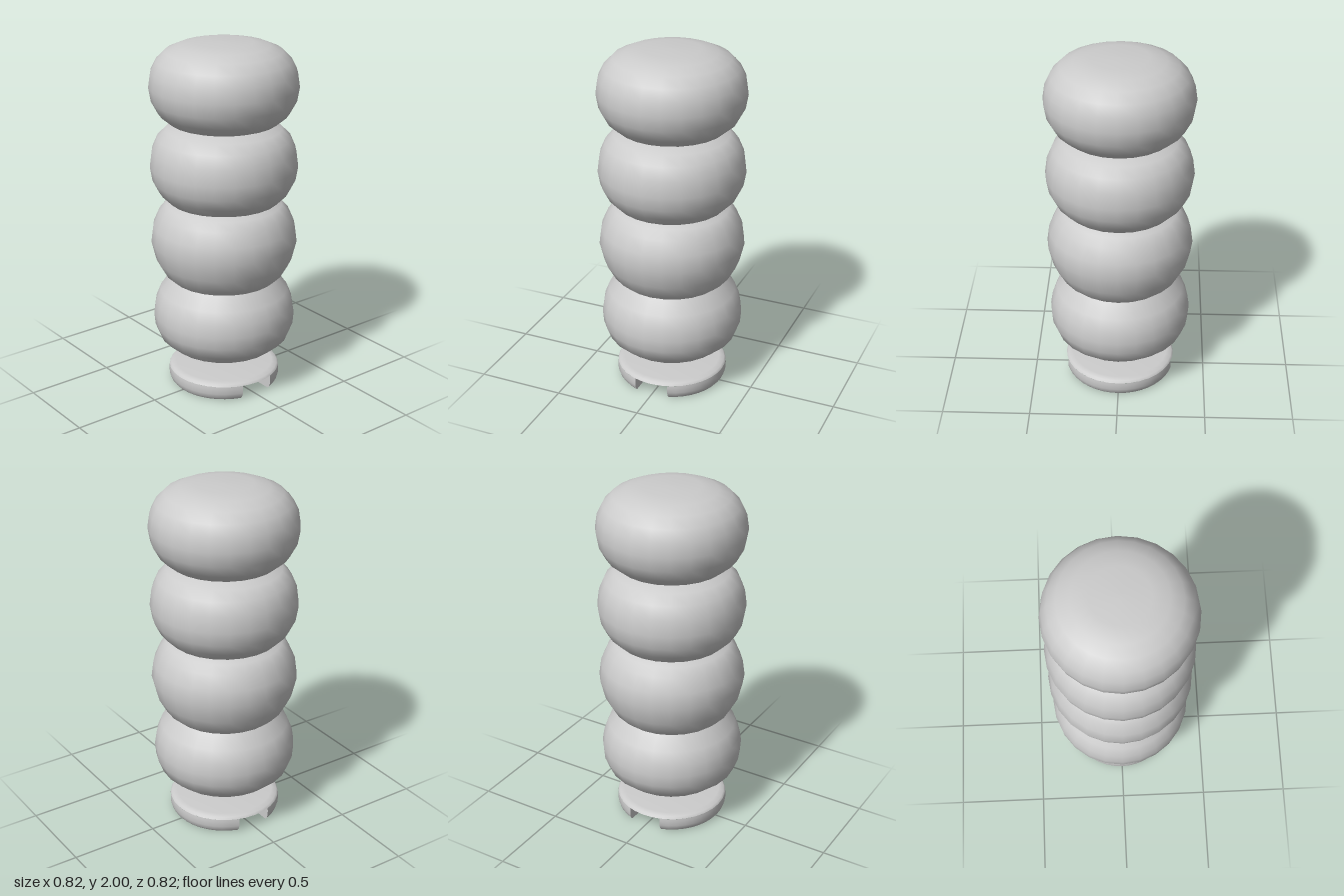
import * as THREE from 'three';
import { ParametricGeometry } from 'three/addons/geometries/ParametricGeometry.js';

const SIDES = 24;
const grey = new THREE.MeshStandardMaterial({ color: 0xcccccc });

function add(parent, name, geometry) {
  const mesh = new THREE.Mesh(geometry, grey);
  mesh.name = name;
  parent.add(mesh);
  return mesh;
}

// Surface of revolution from [radius, height] pairs, bottom to top
function lathe(profile, sides = SIDES) {
  return new THREE.LatheGeometry(profile.map(([r, y]) => new THREE.Vector2(r, y)), sides);
}

// Flat disc facing down
function underside(radius, y) {
  return new THREE.CircleGeometry(radius, SIDES).rotateX(Math.PI / 2).translate(0, y, 0);
}

export function createModel() {
  const model = new THREE.Group();
  model.name = 'ribbedGrip';

  // Four stacked bulges, meeting in sharp creases
  const bulges = [
    [[0.3, 0.23], [0.37, 0.29], [0.398, 0.36], [0.404, 0.43], [0.393, 0.5], [0.365, 0.57], [0.295, 0.65]],
    [[0.295, 0.64], [0.34, 0.68], [0.385, 0.76], [0.412, 0.87], [0.4, 0.96], [0.365, 1.04], [0.325, 1.085], [0.26, 1.11]],
    [[0.25, 1.09], [0.31, 1.11], [0.365, 1.165], [0.398, 1.23], [0.412, 1.31], [0.4, 1.4], [0.37, 1.47], [0.32, 1.52], [0.24, 1.545]],
    [[0.24, 1.54], [0.3, 1.56], [0.36, 1.61], [0.398, 1.68], [0.412, 1.76], [0.4, 1.84], [0.37, 1.9],
      [0.32, 1.95], [0.25, 1.98], [0.16, 1.998], [0, 2]],
  ];
  const grip = new THREE.Group();
  grip.name = 'grip';
  model.add(grip);
  bulges.forEach((profile, i) => add(grip, `bulge${i + 1}`, lathe(profile)));
  add(grip, 'gripUnderside', underside(0.3, 0.23));

  // Thin stem between grip and base
  add(model, 'stem', new THREE.CylinderGeometry(0.038, 0.038, 0.14, 16, 1, true).translate(0, 0.17, 0));

  // Base: a shallow cap carried by two half discs with a slot along x
  const base = new THREE.Group();
  base.name = 'base';
  model.add(base);
  const slotTop = 0.085, slotHalf = 0.1;
  add(base, 'baseCap', lathe([[0.318, slotTop], [0.309, 0.098], [0.28, 0.106], [0.12, 0.112], [0, 0.115]], 32));
  add(base, 'slotCeiling', underside(0.318, slotTop));

  const rim = [[0.3, 0], [0.312, 0.015], [0.32, 0.04], [0.32, 0.07], [0.318, slotTop]];
  const steps = rim.length - 1;
  const rimPoint = (u, v, target) => {
    const [r, y] = rim[Math.round(v * steps)];
    const start = Math.asin(slotHalf / r);
    const angle = Math.PI - start - u * (Math.PI - 2 * start);
    return target.set(r * Math.cos(angle), y, r * Math.sin(angle));
  };
  const wallPoint = (u, v, target) => {
    const [r, y] = rim[Math.round(v * steps)];
    const half = Math.sqrt(r * r - slotHalf * slotHalf);
    return target.set(half * (1 - 2 * u), y, slotHalf);
  };
  const bottomPoint = (u, v, target) => {
    rimPoint(u, 0, target);
    target.z = slotHalf + (target.z - slotHalf) * v;
    return target;
  };
  for (const [name, turn] of [['frontFoot', 0], ['backFoot', Math.PI]]) {
    const foot = new THREE.Group();
    foot.name = name;
    foot.rotation.y = turn;
    base.add(foot);
    // Rows are sampled exactly at the rim profile points
    add(foot, 'footRim', new ParametricGeometry(rimPoint, 16, steps));
    add(foot, 'slotWall', new ParametricGeometry(wallPoint, 1, steps));
    // Flat underside
    const bottom = new ParametricGeometry(bottomPoint, 16, 1);
    const normal = bottom.attributes.normal;
    for (let i = 0; i < normal.count; i++) normal.setXYZ(i, 0, -1, 0);
    add(foot, 'footUnderside', bottom);
  }
  // ParametricGeometry samples normals by tiny offsets, so rebuild them from the faces
  base.traverse((o) => {
    if (o.name === 'footRim' || o.name === 'slotWall') o.geometry.computeVertexNormals();
  });
  return model;
}
